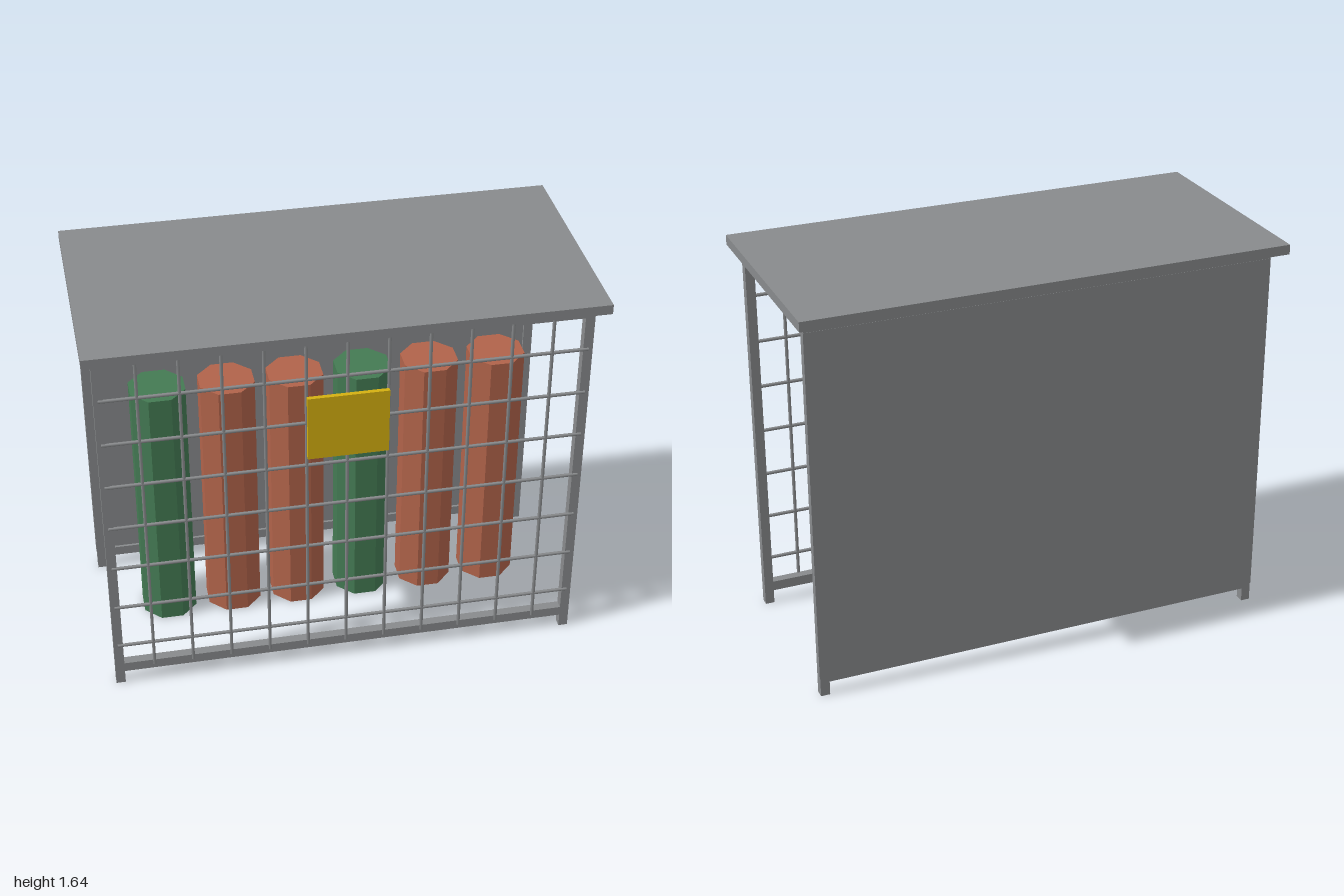
import * as THREE from 'three';

const mat = (name, color) => {
  const m = new THREE.MeshStandardMaterial({ color });
  m.name = name;
  return m;
};

export function createModel() {
  const group = new THREE.Group();
  const steel = mat('grey steel', 0x888a8c);
  const red = mat('rust red', 0xb0634a);
  const green = mat('green', 0x447a53);
  const yellow = mat('yellow', 0xd4af10);
  red.flatShading = green.flatShading = true;

  const add = (name, geometry, material, x, y, z) => {
    const mesh = new THREE.Mesh(geometry, material);
    mesh.name = name;
    mesh.position.set(x, y, z);
    group.add(mesh);
    return mesh;
  };
  const box = (name, material, w, h, d, x, y, z) =>
    add(name, new THREE.BoxGeometry(w, h, d), material, x, y, z);

  // Flat roof
  box('roof', steel, 2, 0.04, 0.96, 0, 1.62, 0);

  // Corner posts, with a top and bottom rail on the front and back
  for (const z of [-0.381, 0.381]) {
    for (const x of [-0.943, 0.943]) box('post', steel, 0.038, 1.6, 0.038, x, 0.8, z);
    for (const y of [0.08, 1.562]) box('rail', steel, 1.85, 0.042, 0.038, 0, y, z);
  }

  // Closed back panel
  box('backPanel', steel, 1.928, 1.48, 0.028, 0, 0.82, -0.387);

  // Front mesh of thin bars
  for (let i = -5; i <= 5; i++) {
    add('verticalBar', new THREE.CylinderGeometry(0.007, 0.007, 1.48, 6), steel, i * 0.16, 0.82, 0.4);
  }
  for (let i = 1; i <= 7; i++) {
    const bar = add('horizontalBar', new THREE.CylinderGeometry(0.007, 0.007, 1.89, 6), steel, 0, i * 0.2, 0.4);
    bar.rotation.z = Math.PI / 2;
  }

  // Sign plate on the mesh
  box('sign', yellow, 0.32, 0.28, 0.018, 0, 1.185, 0.416);

  // Row of eight-sided gas cylinders
  [green, red, red, green, red, red].forEach((material, i) => {
    const cylinder = add('gasCylinder', new THREE.CylinderGeometry(0.12, 0.12, 1.12, 8),
      material, -0.682 + i * 0.28, 0.56, -0.08);
    cylinder.rotation.y = Math.PI / 8;
  });

  return group;
}
